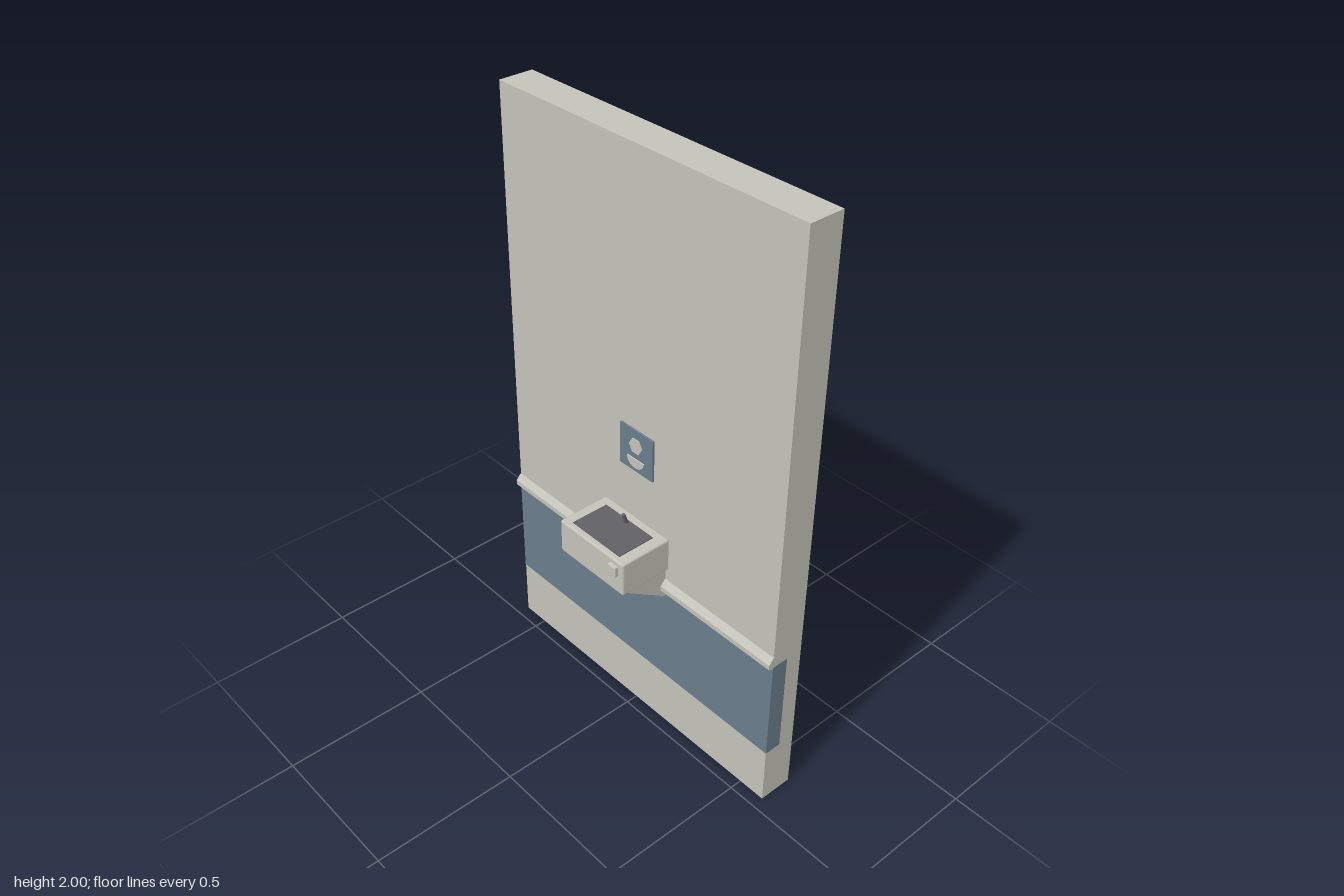
import * as THREE from 'three';
import { RoundedBoxGeometry } from 'three/addons/geometries/RoundedBoxGeometry.js';

const material = (name, color) => {
  const m = new THREE.MeshStandardMaterial({ color });
  m.name = name;
  return m;
};

export function createModel() {
  const group = new THREE.Group();
  const stone = material('warm grey', 0xc4c3b9);
  const blue = material('slate blue', 0x6a7d8b);
  const dark = material('dark steel', 0x616065);

  const add = (name, geometry, mat, x = 0, y = 0, z = 0) => {
    const mesh = new THREE.Mesh(geometry, mat);
    mesh.name = name;
    mesh.position.set(x, y, z);
    group.add(mesh);
    return mesh;
  };
  // Box given by its limits on each axis
  const box = (name, mat, [x0, x1], [y0, y1], [z0, z1], radius = 0) => {
    const size = [x1 - x0, y1 - y0, z1 - z0];
    const geometry = radius ? new RoundedBoxGeometry(...size, 2, radius) : new THREE.BoxGeometry(...size);
    return add(name, geometry, mat, (x0 + x1) / 2, (y0 + y1) / 2, (z0 + z1) / 2);
  };
  // Side profile of [z, y] points, stretched along x
  const sideExtrude = (name, mat, points, halfWidth) => {
    const shape = new THREE.Shape(points.map(([z, y]) => new THREE.Vector2(-z, y)));
    const geometry = new THREE.ExtrudeGeometry(shape, { depth: halfWidth * 2, bevelEnabled: false });
    geometry.translate(0, 0, -halfWidth).rotateY(Math.PI / 2);
    return add(name, geometry, mat);
  };

  // Wall with a painted band and a chamfered rail
  box('wall', stone, [-0.596, 0.596], [0, 2], [-0.16, -0.042]);
  box('wallBand', blue, [-0.597, 0.597], [0.208, 0.572], [-0.1, -0.041]);
  sideExtrude('rail', stone, [[-0.045, 0.612], [-0.04, 0.612], [-0.023, 0.592], [-0.023, 0.575], [-0.04, 0.567], [-0.045, 0.567]], 0.597);

  // Basin, its sloping underside, and the push button
  box('basin', stone, [-0.146, 0.146], [0.658, 0.778], [-0.042, 0.146], 0.007);
  sideExtrude('basinApron', stone, [[-0.042, 0.54], [0.138, 0.66], [-0.042, 0.66]], 0.131);
  box('basinTray', dark, [-0.108, 0.108], [0.776, 0.781], [-0.008, 0.126]);
  box('pushButton', stone, [0.089, 0.125], [0.724, 0.762], [0.14, 0.159], 0.004);

  // Leaning spout
  const base = new THREE.Vector3(0, 0.776, 0.002);
  const tip = new THREE.Vector3(0, 0.818, 0.016);
  const path = new THREE.LineCurve3(base, tip);
  const spout = add('spout', new THREE.CylinderGeometry(0.006, 0.007, path.getLength(), 10), dark);
  spout.position.copy(base).lerp(tip, 0.5);
  spout.quaternion.setFromUnitVectors(new THREE.Vector3(0, 1, 0), tip.clone().sub(base).normalize());

  // Wall sign with a hexagon above a bowl
  box('signPlate', blue, [-0.073, 0.073], [0.955, 1.102], [-0.044, -0.035]);
  const plate = { depth: 0.006, bevelEnabled: false };
  const hexagon = new THREE.Shape();
  for (let i = 0; i < 6; i++) {
    const a = i * Math.PI / 3;
    hexagon[i ? 'lineTo' : 'moveTo'](0.028 * Math.cos(a), 0.028 * Math.sin(a));
  }
  add('signHexagon', new THREE.ExtrudeGeometry(hexagon, plate), stone, 0, 1.049, -0.037);
  const bowl = new THREE.Shape();
  bowl.absellipse(0, 0, 0.037, 0.032, Math.PI, Math.PI * 2, false);
  bowl.closePath();
  add('signBowl', new THREE.ExtrudeGeometry(bowl, plate), stone, 0, 1.002, -0.037);

  return group;
}
